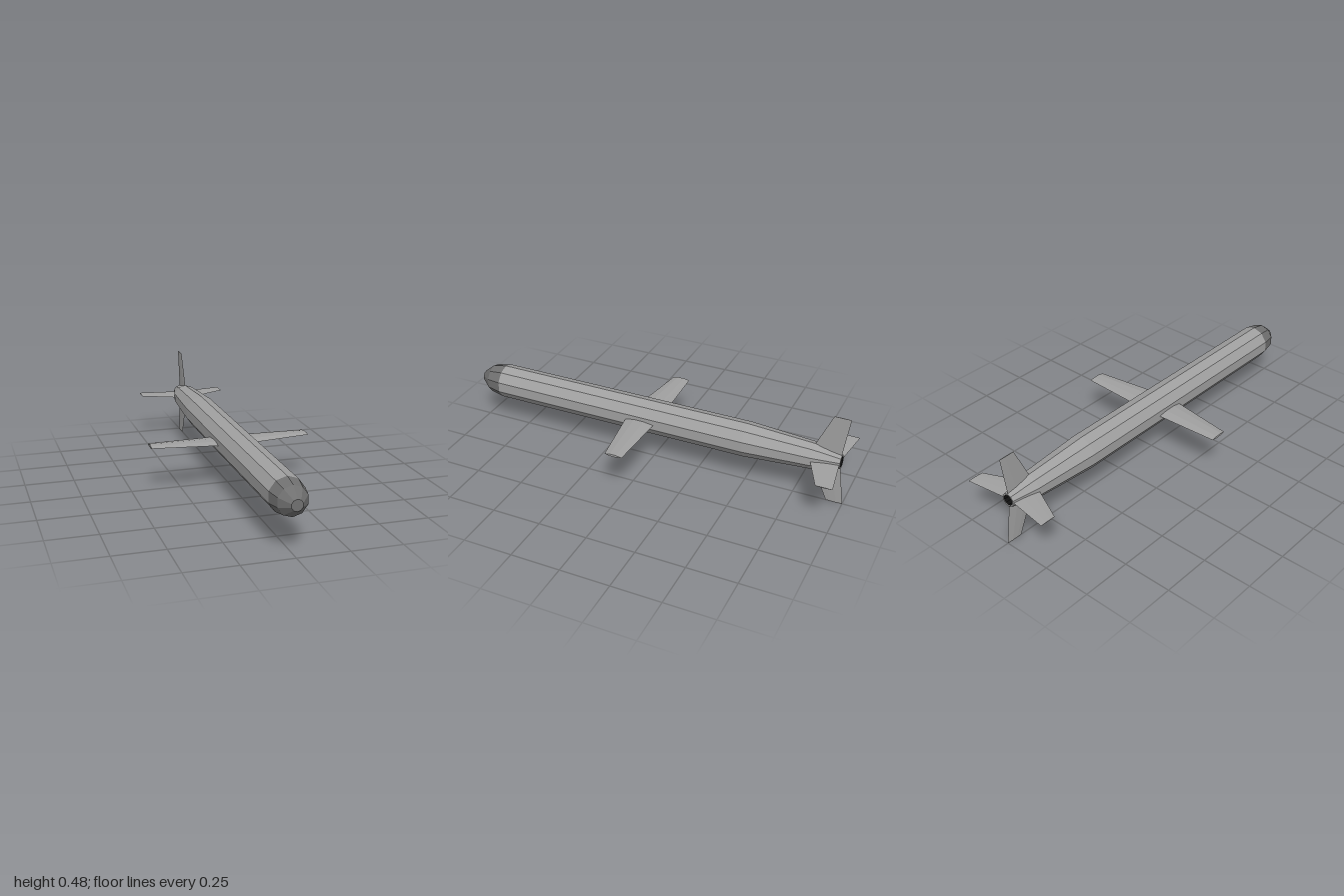
import * as THREE from 'three';

const AXIS_Y = 0.24;
const SIDES = 10;

// Faceted copy of a geometry
function faceted(geometry) {
  const flat = geometry.index ? geometry.toNonIndexed() : geometry;
  flat.computeVertexNormals();
  return flat;
}

// Ten-sided body of revolution along z; profile is [radius, z], ordered so the surface faces outward
function revolve(profile) {
  const points = profile.map(([r, z]) => new THREE.Vector2(r, z));
  return faceted(new THREE.LatheGeometry(points, SIDES).rotateX(Math.PI / 2));
}

// Tapered lens-section blade growing along +x; each end is { x, front, back, thick }
function blade(root, tip) {
  const section = [[0, 0], [0.3, 1], [0.65, 1], [1, 0], [0.65, -1], [0.3, -1]];
  const n = section.length;
  const positions = [];
  for (const end of [root, tip]) {
    for (const [t, side] of section) {
      positions.push(end.x, side * end.thick / 2, THREE.MathUtils.lerp(end.front, end.back, t));
    }
  }
  const index = [];
  for (let i = 0; i < n; i++) {
    const j = (i + 1) % n;
    index.push(i, n + i, j, j, n + i, n + j);
  }
  // Tip and root caps
  for (let i = 1; i < n - 1; i++) {
    index.push(n, n + i + 1, n + i, 0, i, i + 1);
  }
  const geometry = new THREE.BufferGeometry();
  geometry.setAttribute('position', new THREE.Float32BufferAttribute(positions, 3));
  geometry.setIndex(index);
  return faceted(geometry);
}

export function createModel() {
  const model = new THREE.Group();
  model.name = 'missile';

  const material = (name, color) => {
    const m = new THREE.MeshStandardMaterial({ color });
    m.name = name;
    return m;
  };
  const bodyGrey = material('bodyGrey', 0xa0a0a0);
  const noseGrey = material('noseGrey', 0x707070);
  const nozzleBlack = material('nozzleBlack', 0x101010);

  const add = (name, geometry, mat, angle = 0) => {
    const mesh = new THREE.Mesh(geometry, mat);
    mesh.name = name;
    mesh.position.y = AXIS_Y;
    mesh.rotation.z = angle;
    model.add(mesh);
  };

  // Fuselage with tapered tail and nozzle rim
  add('fuselage', revolve([
    [0.027, -0.975], [0.035, -0.975], [0.067, -0.84], [0.088, -0.5], [0.088, 0.87],
  ]), bodyGrey);

  // Blunt nose with flat front cap
  add('nose', revolve([[0.088, 0.87], [0.073, 0.945], [0.028, 1], [0, 1]]), noseGrey);

  // Recessed exhaust
  add('nozzle', revolve([[0, -0.93], [0.027, -0.93], [0.027, -0.975]]), nozzleBlack);

  // Main wings
  const wing = blade(
    { x: 0.06, front: 0.124, back: -0.033, thick: 0.016 },
    { x: 0.408, front: 0.073, back: -0.018, thick: 0.011 },
  );
  add('leftWing', wing, bodyGrey);
  add('rightWing', wing, bodyGrey, Math.PI);

  // Four swept tail fins
  const fin = blade(
    { x: 0.03, front: -0.825, back: -0.972, thick: 0.006 },
    { x: 0.238, front: -0.918, back: -1, thick: 0.003 },
  );
  ['leftFin', 'topFin', 'rightFin', 'bottomFin'].forEach((name, i) => {
    add(name, fin, bodyGrey, i * Math.PI / 2);
  });

  return model;
}
